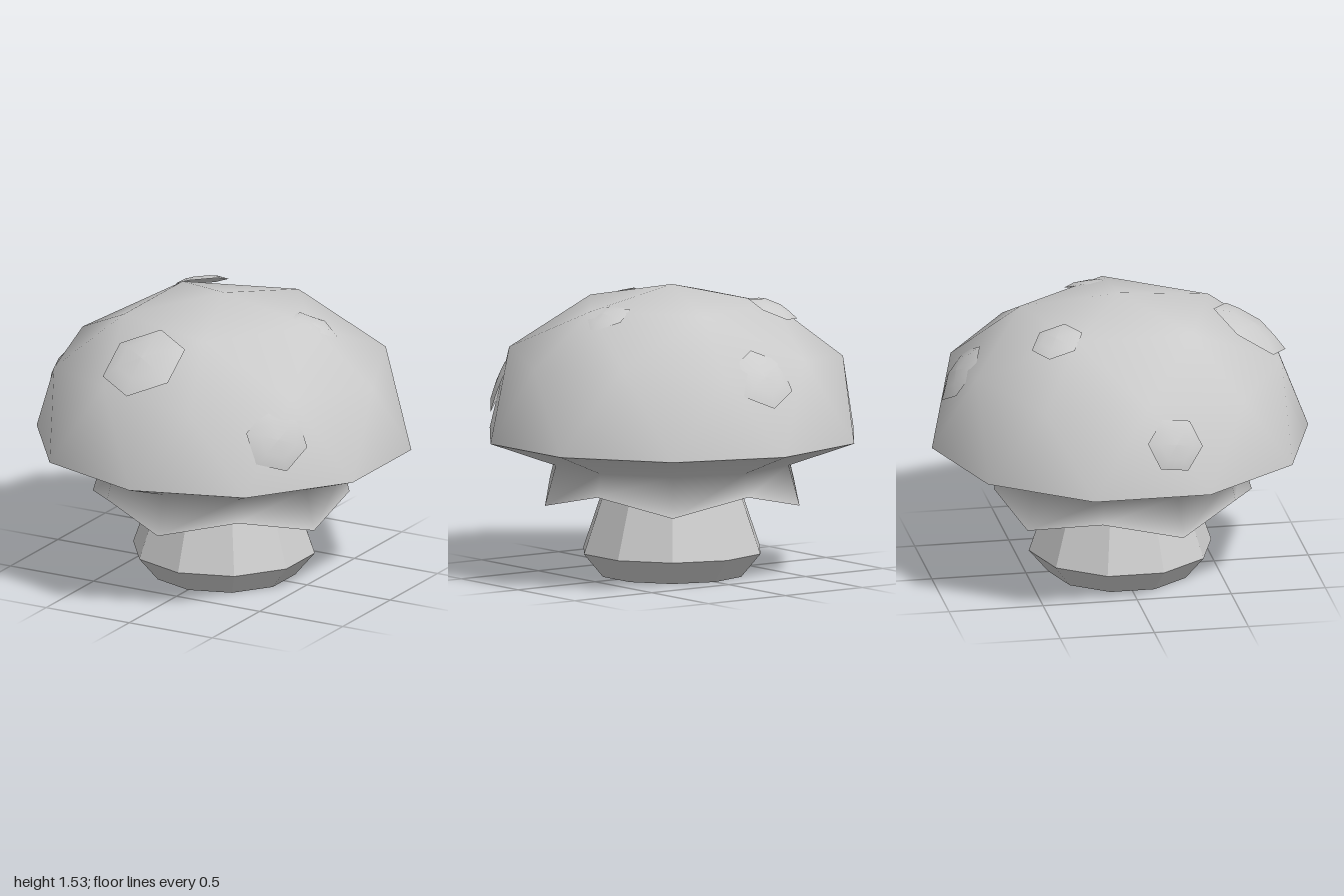
import * as THREE from 'three';

const grey = (opts = {}) =>
  new THREE.MeshStandardMaterial({ color: 0xcccccc, side: THREE.DoubleSide, ...opts });

// Ring of points around the y axis; radius and height may alternate between two values
function ring(count, startDeg, radii, heights) {
  return Array.from({ length: count }, (_, i) => {
    const a = THREE.MathUtils.degToRad(startDeg + (360 / count) * i);
    const r = radii[i % radii.length];
    return [r * Math.cos(a), heights[i % heights.length], r * Math.sin(a)];
  });
}

function meshFrom(name, points, faces, material) {
  const geo = new THREE.BufferGeometry();
  geo.setAttribute('position', new THREE.Float32BufferAttribute(points.flat(), 3));
  geo.setIndex(faces.flat());
  geo.computeVertexNormals();
  const mesh = new THREE.Mesh(geo, material);
  mesh.name = name;
  return mesh;
}

// Surface through rings of equal size, listed from top to bottom
function loft(name, rings, material) {
  const n = rings[0].length, faces = [];
  for (let r = 0; r < rings.length - 1; r++) {
    for (let j = 0; j < n; j++) {
      const a = r * n + j, b = r * n + (j + 1) % n;
      faces.push([a, b, b + n], [a, b + n, a + n]);
    }
  }
  return meshFrom(name, rings.flat(), faces, material);
}

// Faceted dome: apex, five points, ten points, ten rim points
function cap(rim) {
  const points = [
    [0, 1.53, 0],
    ...ring(5, 0, [0.526], [1.43]),
    ...ring(10, 0, [0.894, 0.851], [1.15, 1.2]),
    ...rim,
  ];
  const top = k => 1 + k % 5, mid = k => 6 + (k + 10) % 10, low = k => 16 + (k + 10) % 10;
  const faces = [];
  for (let k = 0; k < 5; k++) {
    faces.push(
      [0, top(k + 1), top(k)],
      [top(k), top(k + 1), mid(2 * k + 1)],
      [top(k), mid(2 * k + 1), mid(2 * k)],
      [top(k), mid(2 * k), mid(2 * k - 1)]);
  }
  for (let j = 0; j < 10; j++) {
    faces.push([mid(j), mid(j + 1), low(j)], [mid(j), low(j), low(j - 1)]);
  }
  return meshFrom('cap', points, faces, grey());
}

// Shallow six-sided dome lying on the cap
function spot(x, y, z, radius) {
  const h = radius * 0.19;
  const profile = [[radius, 0], [radius * 0.6, h * 0.8], [0, h]];
  const geo = new THREE.LatheGeometry(profile.map(p => new THREE.Vector2(...p)), 6);
  const mesh = new THREE.Mesh(geo, grey());
  const normal = new THREE.Vector3(x, (y - 0.84) / 0.476, z).normalize();
  mesh.quaternion.setFromUnitVectors(new THREE.Vector3(0, 1, 0), normal);
  mesh.position.set(x, y, z);
  mesh.name = 'spot';
  return mesh;
}

export function createModel() {
  const group = new THREE.Group();
  group.name = 'mushroom';

  const rim = ring(10, 18, [1], [0.73]);
  const neck = ring(10, 18, [0.64], [0.6]);
  const hem = ring(10, 18, [0.7, 0.67], [0.39, 0.48]);
  const stemTop = ring(10, 18, [0.355], [0.5]);
  const centre = ring(10, 18, [0.001], [0.5]);

  // Cap, its underside with the zigzag skirt, and the inside of the skirt
  group.add(cap(rim));
  group.add(loft('skirt', [rim, neck, hem], grey()));
  group.add(loft('skirtInside', [hem, stemTop, centre], grey()));

  // Hollow stem, open at the foot
  const stemProfile = [[0.38, 0], [0.485, 0.125], [0.355, 0.5]];
  const stem = new THREE.Mesh(
    new THREE.LatheGeometry(stemProfile.map(p => new THREE.Vector2(...p)), 10),
    grey({ flatShading: true }));
  stem.name = 'stem';
  group.add(stem);

  // Spots: x, y, z, radius
  const spots = new THREE.Group();
  spots.name = 'spots';
  for (const s of [
    [-0.1, 1.32, 0.67, 0.23],
    [0.66, 1.0, 0.6, 0.17],
    [0.49, 1.4, -0.07, 0.14],
    [-0.36, 1.415, -0.4, 0.14],
    [0.03, 1.125, -0.84, 0.175],
    [-0.9, 1.0, 0.13, 0.15],
  ]) spots.add(spot(...s));
  group.add(spots);

  return group;
}
